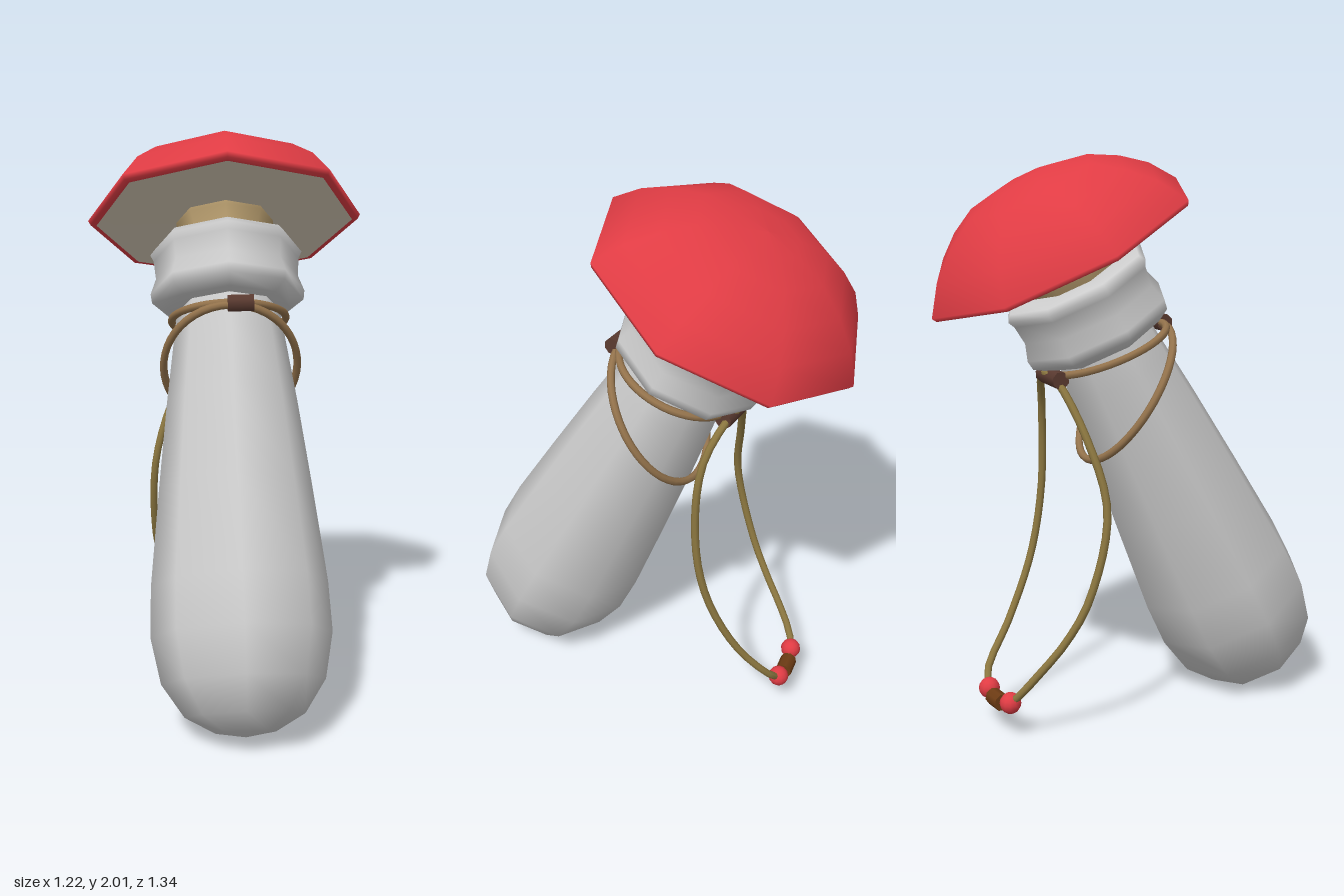
import * as THREE from 'three';

const RED = 0xe03c44, CORD = 0x94734c, STRING = 0x8c7740, DARK = 0x5a3a30, WOOD = 0x6e3c14;
const V = (x, y, z) => new THREE.Vector3(x, y, z);

function mesh(name, geometry, color, parent) {
  const m = new THREE.Mesh(geometry, new THREE.MeshStandardMaterial({ color }));
  m.name = name;
  parent.add(m);
  return m;
}

// Eight-sided turned part; profile runs from bottom to top as [radius, height]
const turned = (profile) =>
  new THREE.LatheGeometry(profile.map(([r, y]) => new THREE.Vector2(r, y)), 8);

const tube = (points, radius, closed) =>
  new THREE.TubeGeometry(new THREE.CatmullRomCurve3(points, closed), 48, radius, 8, closed);

// Loop around the neck, tilted from its front height to its back height
function neckLoop(front, back, zFront, zBack, halfWidth) {
  const points = [];
  for (let i = 0; i < 16; i++) {
    const a = (i / 16) * Math.PI * 2, c = Math.cos(a);
    points.push(V(halfWidth * Math.sin(a), (front + back) / 2 + c * (back - front) / 2,
      (zBack + zFront) / 2 + c * (zBack - zFront) / 2));
  }
  return tube(points, 0.014, true);
}

export function createModel() {
  const model = new THREE.Group();

  // Leaning bottle: local origin is the centre of the cap rim, local y its axis
  const bottle = new THREE.Group();
  bottle.name = 'bottle';
  const axis = V(0.284, 0.888, -0.364).normalize();
  const side = V(0.95, -0.316, -0.01);
  side.addScaledVector(axis, -side.dot(axis)).normalize();
  const depth = V(0, 0, 0).crossVectors(side, axis);
  bottle.quaternion.setFromRotationMatrix(new THREE.Matrix4().makeBasis(side, axis, depth));
  bottle.position.set(0.135, 1.69, -0.205);
  model.add(bottle);

  // Mushroom cap
  mesh('cap', turned([[0.475, -0.02], [0.497, -0.017], [0.506, 0], [0.435, 0.095], [0.345, 0.167], [0.24, 0.225],
    [0.12, 0.252], [0, 0.26]]), RED, bottle);
  mesh('capUnderside', turned([[0, -0.016], [0.475, -0.02]]), 0xd8ccb8, bottle);
  mesh('cork', turned([[0, -0.3], [0.15, -0.3], [0.157, -0.09], [0.18, -0.03], [0.18, 0]]), 0xb49a6c, bottle);

  // Flask
  mesh('collar', turned([[0.16, -0.375], [0.23, -0.368], [0.276, -0.335], [0.281, -0.3], [0.26, -0.24],
    [0.267, -0.17], [0.279, -0.145], [0.262, -0.123], [0.2, -0.115], [0.14, -0.125]]), 0xcccccc, bottle);
  mesh('body', turned([[0, -1.875], [0.1, -1.86], [0.2, -1.805], [0.275, -1.695], [0.307, -1.54], [0.302, -1.37],
    [0.268, -1.04], [0.232, -0.72], [0.202, -0.49], [0.185, -0.36], [0.17, -0.32]]), 0xcccccc, bottle);

  // Cords tied around the neck; local +z is the back of the bottle
  const ties = new THREE.Group();
  ties.name = 'neckTies';
  ties.rotation.y = Math.PI * 0.75;
  bottle.add(ties);
  mesh('neckCord', neckLoop(-0.43, -0.385, -0.225, 0.22, 0.207), CORD, ties);
  mesh('slackCord', neckLoop(-0.44, -0.725, -0.23, 0.25, 0.24), CORD, ties);
  const beads = [['frontBead', -0.035, -0.437, -0.236, 0.09], ['backBead', 0.01, -0.39, 0.23, 0.17]];
  for (const [name, x, y, z, length] of beads) {
    const bead = mesh(name, new THREE.CylinderGeometry(0.031, 0.031, length, 8), DARK, ties);
    bead.rotation.z = Math.PI / 2;
    bead.position.set(x, y, z);
  }

  // Long string hanging from the back bead, with a cluster of beads at the bottom
  const beadA = V(0.33, 0.12, -0.39), beadB = V(0.19, 0.12, -0.48), middle = V(0.265, 0.105, -0.44);
  mesh('hangingString', tube([
    V(0.17, 1.25, -0.23), V(0.225, 1.23, -0.17), V(0.27, 1.1, -0.085), V(0.29, 0.8, -0.06),
    V(0.315, 0.55, -0.1), V(0.35, 0.32, -0.21), V(0.365, 0.17, -0.34), beadA, middle, beadB,
    V(0.15, 0.155, -0.487), V(0.08, 0.24, -0.465), V(0, 0.35, -0.425), V(-0.07, 0.5, -0.38),
    V(-0.11, 0.8, -0.32), V(-0.02, 1.05, -0.3), V(0.12, 1.24, -0.26),
  ], 0.014, true), STRING, model);
  for (const p of [beadA, beadB])
    mesh('redBead', new THREE.SphereGeometry(0.038, 12, 8), RED, model).position.copy(p);
  const barrel = mesh('barrelBead', new THREE.CylinderGeometry(0.031, 0.031, 0.075, 8), WOOD, model);
  barrel.position.copy(middle);
  barrel.quaternion.setFromUnitVectors(V(0, 1, 0), beadA.clone().sub(beadB).normalize());

  return model;
}
